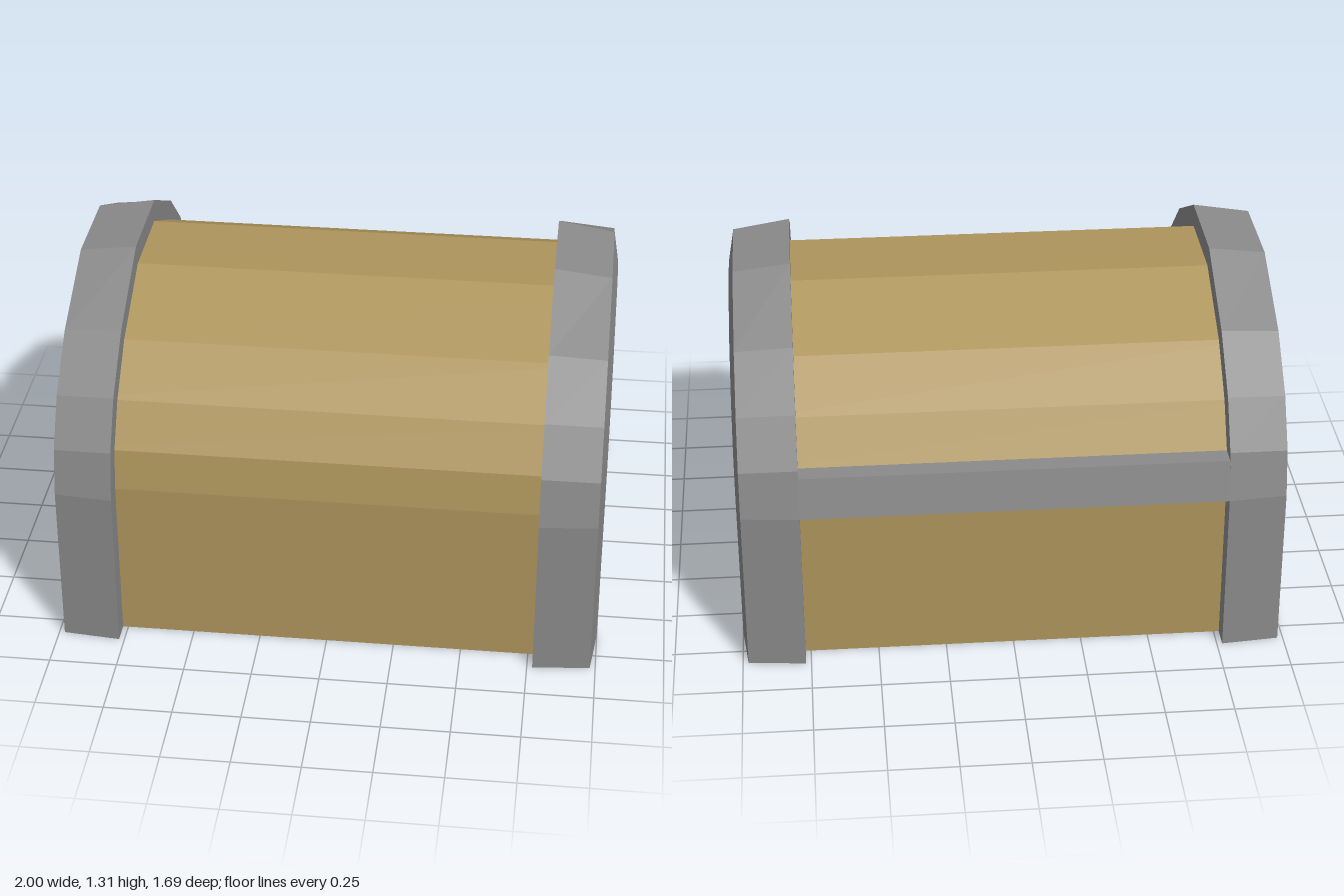
import * as THREE from 'three';

// Half profiles as [z, y], from the ground up to the crown
const BODY = [[0.765, 0], [0.765, 0.62], [0.74, 0.77], [0.645, 0.925], [0.475, 1.08], [0.17, 1.23]];
const OUTER = [[0.845, 0], [0.845, 0.62], [0.81, 0.8], [0.71, 0.97], [0.52, 1.14], [0.19, 1.31]];
const BEVEL = [[0.825, 0], [0.825, 0.62], [0.793, 0.79], [0.695, 0.96], [0.51, 1.125], [0.18, 1.28]];
const OPENING = [[0.63, 0], [0.63, 0.62], [0.6, 0.77], [0.51, 0.925], [0.34, 1.08], [0.095, 1.19]];

const WALL_X = 0.92; // end walls of the body
const RIB_X = 0.77; // inner edge of the end frames

// Complete a half profile by mirroring it across z = 0
const mirrored = (half) => [...half, ...half.map(([z, y]) => [-z, y]).reverse()];

// Prism along x from a [z, y] outline
function prism(outline, x0, x1) {
  const shape = new THREE.Shape(outline.map(([z, y]) => new THREE.Vector2(-z, y)));
  const geo = new THREE.ExtrudeGeometry(shape, { depth: x1 - x0, bevelEnabled: false });
  return geo.rotateY(Math.PI / 2).translate(x0, 0, 0);
}

// Arched frame for the +x end, built from rings of matching points
function frameGeometry() {
  const ring = (half, x) => mirrored(half).map(([z, y]) => [x, y, z]);
  const outer = ring(OUTER, RIB_X);
  const bevel = ring(BEVEL, 0.98);
  const lip = ring(OPENING, 1);
  const reveal = ring(OPENING, WALL_X);
  const inner = ring(BODY, RIB_X);
  const corner = ring(BODY, WALL_X);
  const pos = [];
  const quad = (a, b, c, d) => pos.push(...a, ...b, ...c, ...a, ...c, ...d);

  const strips = [[inner, outer], [outer, bevel], [bevel, lip], [lip, reveal]];
  for (const [p, q] of strips) {
    for (let i = 0; i < p.length - 1; i++) quad(p[i], q[i], q[i + 1], p[i + 1]);
  }

  // L-shaped soles of the two feet
  const n = outer.length - 1;
  quad(inner[0], corner[0], bevel[0], outer[0]);
  quad(corner[0], reveal[0], lip[0], bevel[0]);
  quad(outer[n], bevel[n], corner[n], inner[n]);
  quad(bevel[n], lip[n], reveal[n], corner[n]);

  const geo = new THREE.BufferGeometry();
  geo.setAttribute('position', new THREE.Float32BufferAttribute(pos, 3));
  geo.computeVertexNormals();
  return geo;
}

export function createModel() {
  const model = new THREE.Group();
  model.name = 'chest';

  const wood = new THREE.MeshStandardMaterial({ color: 0xad945c, flatShading: true });
  wood.name = 'tan wood';
  const metal = new THREE.MeshStandardMaterial({ color: 0x8a8a8a, flatShading: true });
  metal.name = 'grey metal';

  const add = (parent, name, geo, material) => {
    const mesh = new THREE.Mesh(geo, material);
    mesh.name = name;
    parent.add(mesh);
  };

  // Box with its rounded lid
  add(model, 'body', prism(mirrored(BODY), -WALL_X, WALL_X), wood);

  // End frames, each with a crossbar over its end wall
  const frame = frameGeometry();
  const crossbar = prism([[0.63, 0.62], [0.6, 0.77], [-0.6, 0.77], [-0.63, 0.62]], WALL_X - 0.01, 1);
  for (const side of ['left', 'right']) {
    const end = new THREE.Group();
    end.name = side + 'End';
    end.rotation.y = side === 'left' ? 0 : Math.PI;
    add(end, side + 'Frame', frame, metal);
    add(end, side + 'Crossbar', crossbar, metal);
    model.add(end);
  }

  // Hinge beam along the back
  const beam = [[-0.755, 0.62], [-0.845, 0.62], [-0.815, 0.77], [-0.73, 0.77]];
  add(model, 'backBeam', prism(beam, -RIB_X, RIB_X), metal);

  return model;
}
